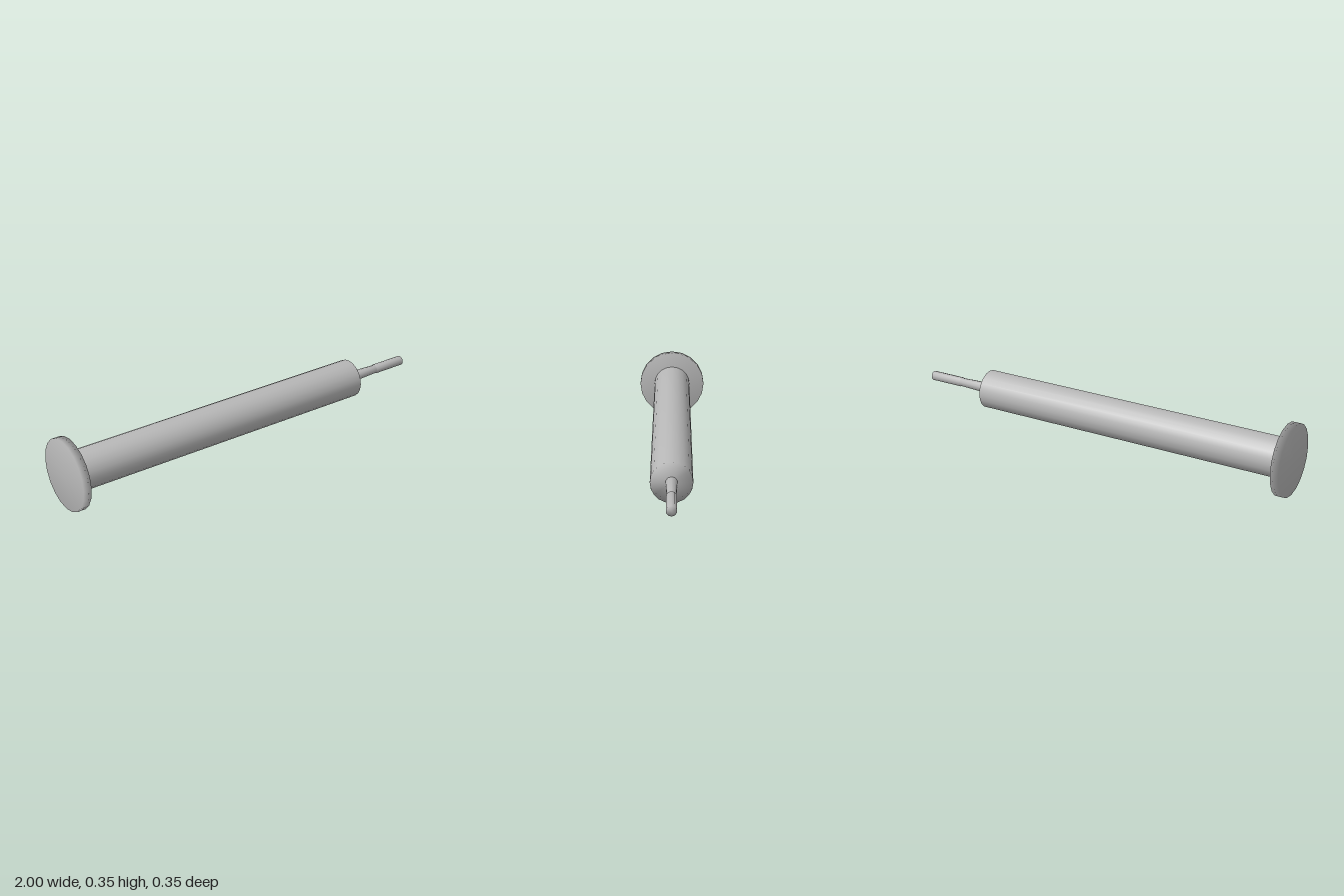
import * as THREE from 'three';

const AXIS_Y = 0.174;

export function createModel() {
  const group = new THREE.Group();
  const metal = new THREE.MeshStandardMaterial({ color: 0xb8b8b8 });
  metal.name = 'grey metal';

  // Closed solid of revolution about the x axis; profile is [x, radius]
  function turned(name, profile, sides) {
    const first = profile[0], last = profile[profile.length - 1];
    const points = [[first[0], 0], ...profile, [last[0], 0]]
      .map(([x, r]) => new THREE.Vector2(r, x));
    const geometry = new THREE.LatheGeometry(points, sides, Math.PI / 2);
    geometry.rotateZ(-Math.PI / 2);
    const mesh = new THREE.Mesh(geometry, metal);
    mesh.name = name;
    mesh.position.y = AXIS_Y;
    group.add(mesh);
  }

  // Wide end flange
  turned('flange', [[-1, 0.174], [-0.96, 0.174]], 20);
  // Main barrel
  turned('barrel', [[-0.962, 0.096], [0.652, 0.096]], 20);
  // Slightly tapered neck
  turned('neck', [[0.645, 0.028], [0.826, 0.021]], 10);
  // Thin end pin
  turned('pin', [[0.825, 0.024], [1, 0.024]], 10);

  return group;
}
